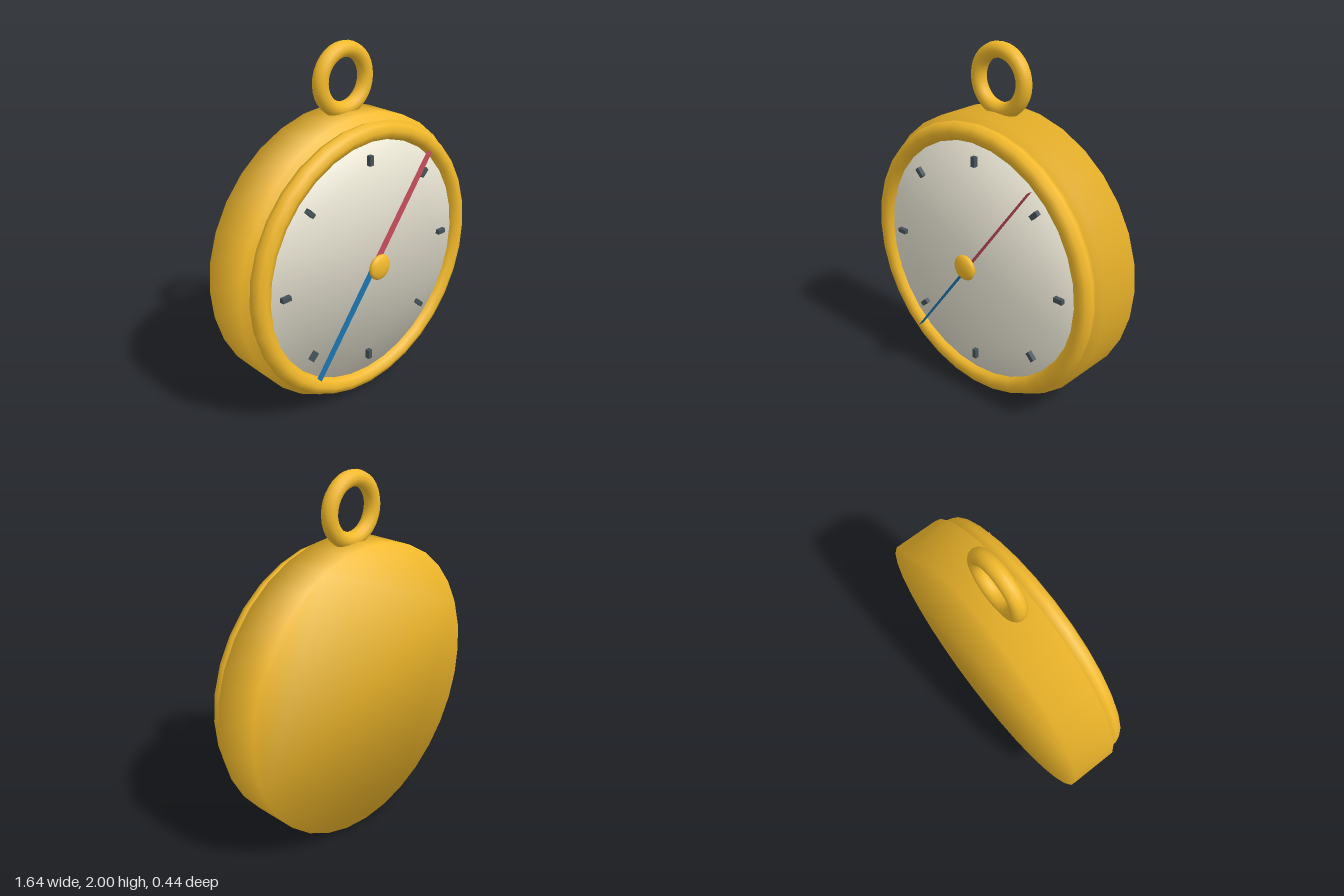
import * as THREE from 'three';

const CENTER_Y = 0.82;
const material = (color) => new THREE.MeshStandardMaterial({ color });

function addMesh(parent, name, geometry, mat, x = 0, y = 0, z = 0) {
  const mesh = new THREE.Mesh(geometry, mat);
  mesh.name = name;
  mesh.position.set(x, y, z);
  parent.add(mesh);
  return mesh;
}

// Flat disc along z whose normals are blended over its rims
function softDisc(radius, back, front, sides = 32) {
  const outline = [];
  for (let i = 0; i < sides; i++) {
    const a = (i / sides) * Math.PI * 2;
    outline.push(new THREE.Vector2(Math.cos(a) * radius, Math.sin(a) * radius));
  }
  const depth = front - back;
  const geometry = new THREE.ExtrudeGeometry(new THREE.Shape(outline), { depth, bevelEnabled: false });
  const p = geometry.attributes.position;
  const n = new THREE.Vector3();
  for (let i = 0; i < p.count; i++) {
    n.set(p.getX(i) / radius, p.getY(i) / radius, p.getZ(i) > depth / 2 ? 1 : -1).normalize();
    geometry.attributes.normal.setXYZ(i, n.x, n.y, n.z);
  }
  return geometry.translate(0, 0, back);
}

// Very thin tapered blade standing on edge, pointing along +y
function blade(length, width, depth) {
  const shape = new THREE.Shape();
  shape.moveTo(-width / 2, 0);
  shape.lineTo(width / 2, 0);
  shape.lineTo(width / 8, length);
  shape.lineTo(-width / 8, length);
  return new THREE.ExtrudeGeometry(shape, { depth, bevelEnabled: false });
}

export function createModel() {
  const model = new THREE.Group();
  model.name = 'pocketCompass';
  const gold = material(0xf2b92b);
  const ivory = material(0xe8e4d3);
  const slate = material(0x46535a);

  // Case, bezel ring and dial
  addMesh(model, 'case', softDisc(0.818, -0.22, 0.04), gold, 0, CENTER_Y);
  addMesh(model, 'bezel', new THREE.TorusGeometry(0.735, 0.053, 8, 32), gold, 0, CENTER_Y, 0.09);
  addMesh(model, 'dial', softDisc(0.72, 0.03, 0.1), ivory, 0, CENTER_Y);

  // Hanging loop
  addMesh(model, 'hangingLoop', new THREE.TorusGeometry(0.157, 0.043, 12, 32), gold, 0, 1.8, -0.09);

  // Eight radial marks
  const marks = new THREE.Group();
  marks.name = 'dialMarks';
  marks.position.set(0, CENTER_Y, 0.11);
  model.add(marks);
  const markGeometry = new THREE.BoxGeometry(0.055, 0.026, 0.03);
  for (let i = 0; i < 8; i++) {
    const a = (i * Math.PI) / 4;
    const mark = addMesh(marks, 'dialMark', markGeometry, slate, Math.cos(a) * 0.59, Math.sin(a) * 0.59);
    mark.rotation.z = a;
  }

  // Two-coloured needle: red half up to the right, blue half opposite
  const needle = new THREE.Group();
  needle.name = 'needle';
  needle.position.set(0, CENTER_Y, 0.138);
  needle.rotation.z = -Math.atan2(0.415, 0.55);
  model.add(needle);
  const bladeGeometry = blade(0.69, 0.006, 0.034);
  addMesh(needle, 'needleNorth', bladeGeometry, material(0xcc5060));
  addMesh(needle, 'needleSouth', bladeGeometry, material(0x1f78b4)).rotation.z = Math.PI;

  // Flattened centre cap
  const cap = addMesh(model, 'centreCap', new THREE.SphereGeometry(0.073, 24, 16), gold, 0, CENTER_Y, 0.19);
  cap.scale.z = 0.4;

  return model;
}
